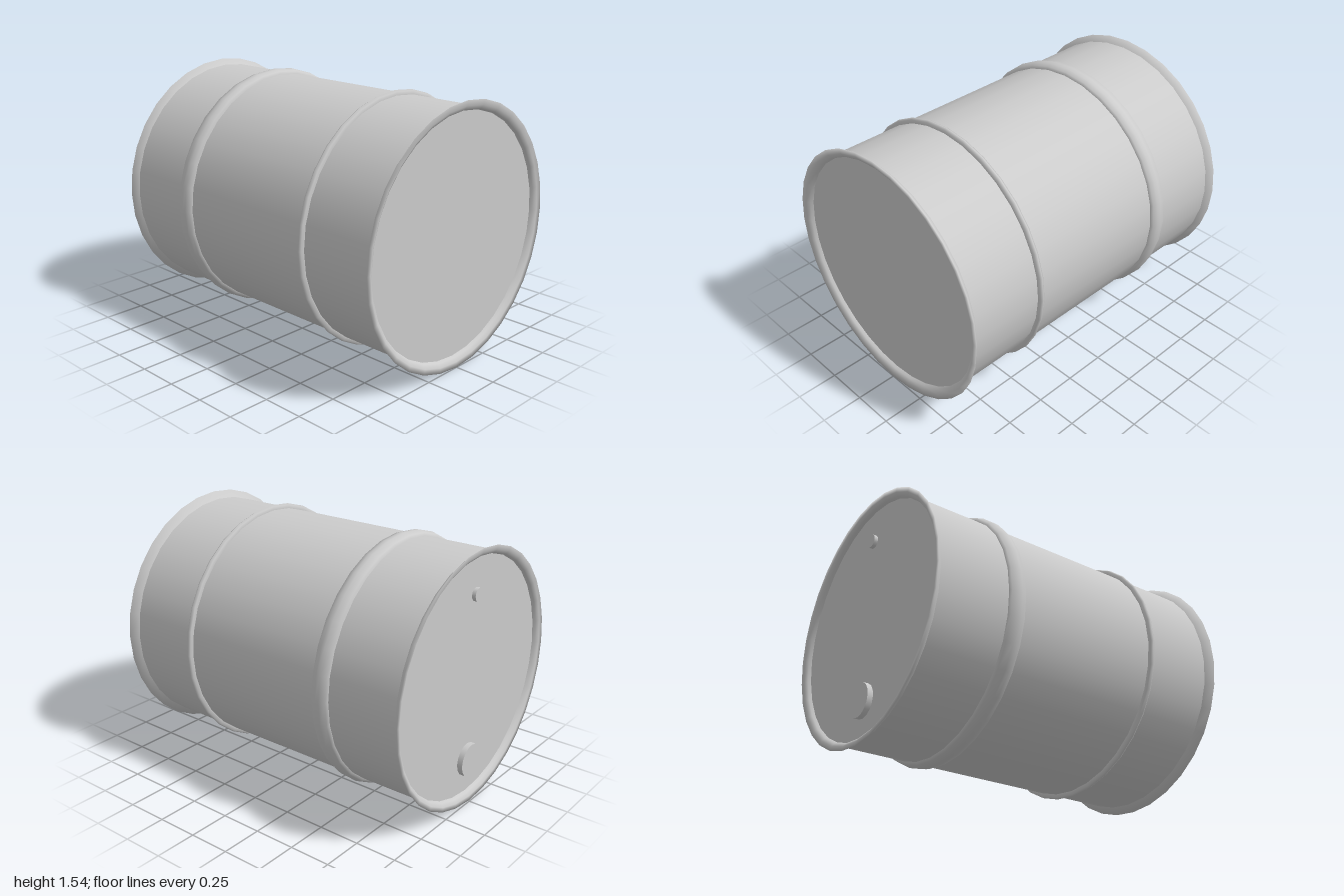
import * as THREE from 'three';

const SIDES = 32;
const CENTRE_Y = 0.775;
const material = new THREE.MeshStandardMaterial({ color: 0xcccccc });

// Turn a profile of [radius, z] points around the drum's long axis.
function turned(name, profile) {
  const points = profile.map(([r, z]) => new THREE.Vector2(r, z));
  const geometry = new THREE.LatheGeometry(points, SIDES).rotateX(Math.PI / 2);
  const mesh = new THREE.Mesh(geometry, material);
  mesh.name = name;
  return mesh;
}

// Flat disc or plug lying across the long axis.
function disc(name, radius, depth, y, z, sides) {
  const geometry = new THREE.CylinderGeometry(radius, radius, depth, sides).rotateX(Math.PI / 2);
  const mesh = new THREE.Mesh(geometry, material);
  mesh.name = name;
  mesh.position.set(0, y, z);
  return mesh;
}

export function createModel() {
  const drum = new THREE.Group();
  drum.name = 'drum';
  const body = new THREE.Group();
  body.name = 'body';
  body.position.y = CENTRE_Y;
  drum.add(body);

  // Straight wall sections between the rims and the ribs
  const R = 0.727;
  body.add(
    turned('backWall', [[R, -0.965], [R, -0.53]]),
    turned('middleWall', [[R, -0.43], [R, 0.485]]),
    turned('frontWall', [[R, 0.515], [R, 0.965]])
  );

  // Wide rib at the back, narrow rib at the front
  body.add(
    turned('wideRib', [[R, -0.535], [0.746, -0.528], [0.757, -0.49], [0.755, -0.465], [0.746, -0.436], [R, -0.43]]),
    turned('narrowRib', [[R, 0.485], [0.748, 0.486], [0.756, 0.5], [0.748, 0.514], [R, 0.515]])
  );

  // Flared rims around each recessed lid
  body.add(
    turned('frontRim', [[R, 0.96], [0.77, 1], [0.738, 0.997], [0.715, 0.982], [0.705, 0.955]]),
    turned('backRim', [[0.705, -0.955], [0.715, -0.982], [0.735, -0.997], [0.762, -1], [R, -0.965]])
  );

  // Lids
  body.add(
    disc('frontLid', 0.71, 0.02, 0, 0.955, SIDES),
    disc('backLid', 0.71, 0.02, 0, -0.955, SIDES)
  );

  // Large and small filler plugs on the back lid
  body.add(
    disc('largePlug', 0.1, 0.035, -0.5, -0.98, 16),
    disc('smallPlug', 0.04, 0.025, 0.5, -0.975, 12)
  );

  return drum;
}
